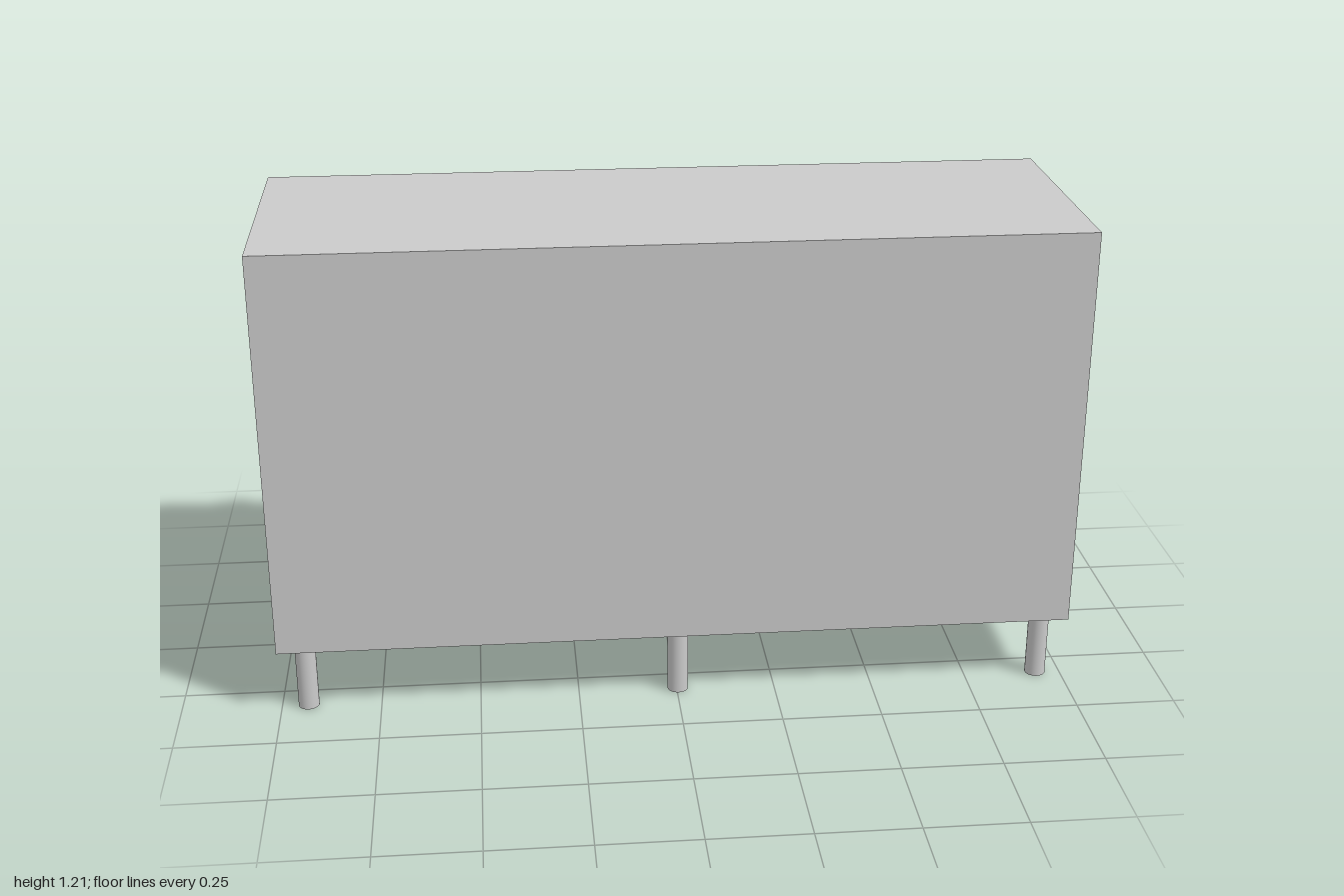
import * as THREE from 'three';

const material = new THREE.MeshStandardMaterial({ color: 0xcccccc });

function addMesh(parent, name, geometry, x, y, z) {
  const mesh = new THREE.Mesh(geometry, material);
  mesh.name = name;
  mesh.position.set(x, y, z);
  parent.add(mesh);
  return mesh;
}

export function createModel() {
  const dresser = new THREE.Group();
  dresser.name = 'dresser';

  // Cabinet
  const bottom = 0.175, top = 1.206, back = 0.37, face = -0.286;
  addMesh(dresser, 'cabinet', new THREE.BoxGeometry(2, top - bottom, back - face),
    0, (top + bottom) / 2, (back + face) / 2);

  // Drawers: two columns of four, each with a round knob
  const panelDepth = 0.023, knobLength = 0.061;
  const panelGeometry = new THREE.BoxGeometry(0.815, 0.212, panelDepth);
  const knobGeometry = new THREE.CylinderGeometry(0.029, 0.029, knobLength, 32).rotateX(Math.PI / 2);
  const columns = [{ x: -0.501, knobX: -0.52 }, { x: 0.497, knobX: 0.546 }];
  const rows = [
    { y: 0.303, knobY: 0.3 },
    { y: 0.561, knobY: 0.557 },
    { y: 0.819, knobY: 0.819 },
    { y: 1.078, knobY: 1.071 },
  ];
  for (const { x, knobX } of columns) {
    for (const { y, knobY } of rows) {
      const drawer = new THREE.Group();
      drawer.name = 'drawer';
      addMesh(drawer, 'drawerFront', panelGeometry, x, y, face - panelDepth / 2);
      addMesh(drawer, 'drawerKnob', knobGeometry, knobX, knobY, face - panelDepth - knobLength / 2);
      dresser.add(drawer);
    }
  }

  // Legs: three along each long side
  const legGeometry = new THREE.CylinderGeometry(0.026, 0.026, bottom, 32);
  for (const x of [-0.933, 0.003, 0.937]) {
    for (const z of [0.32, -0.213]) addMesh(dresser, 'leg', legGeometry, x, bottom / 2, z);
  }

  return dresser;
}
